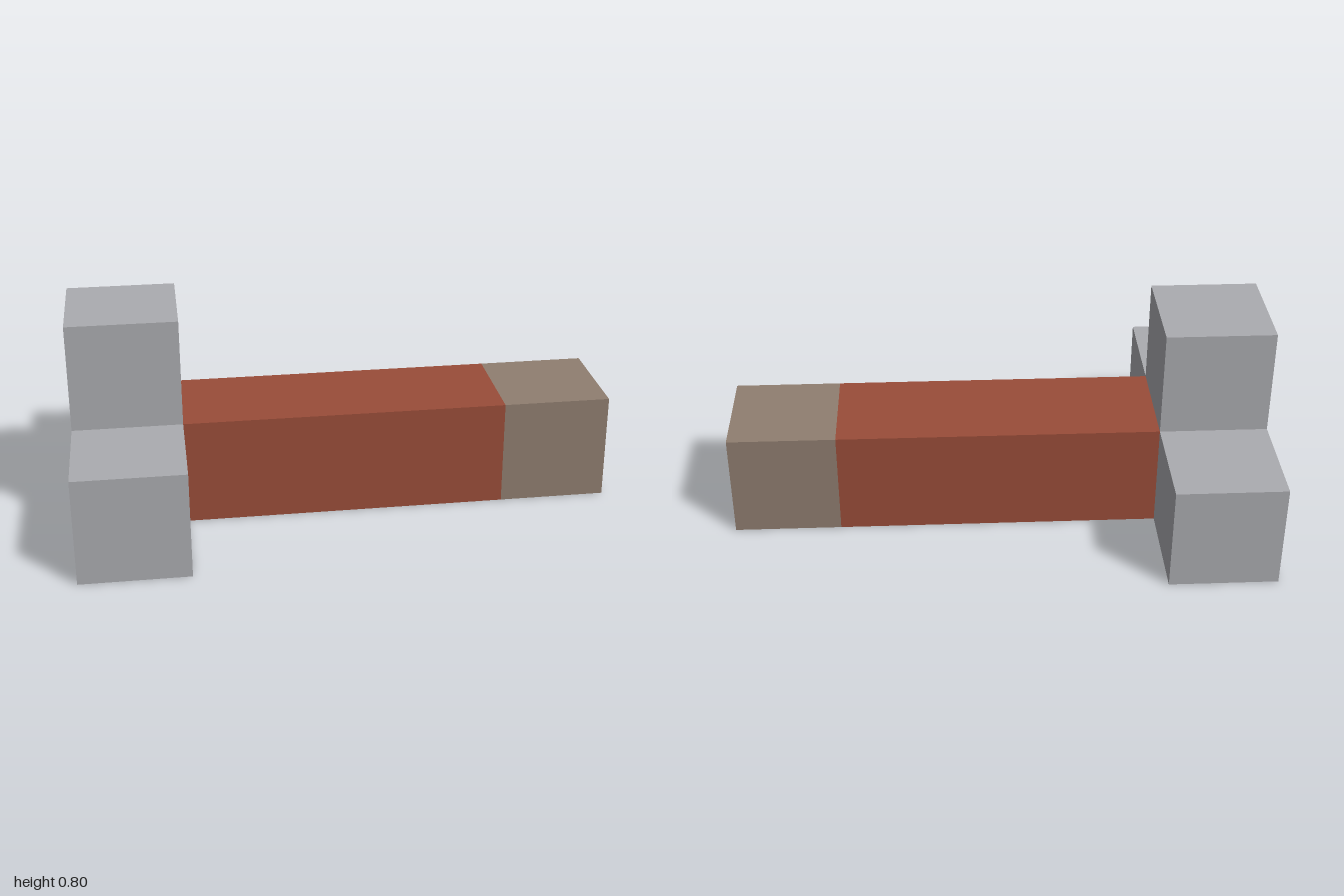
import * as THREE from 'three';

export function createModel() {
  const model = new THREE.Group();
  const material = (name, color) => {
    const m = new THREE.MeshStandardMaterial({ color });
    m.name = name;
    return m;
  };
  const grey = material('stone grey', 0xabacb0);
  const red = material('brick red', 0x9a4d39);
  const tan = material('dull tan', 0x907e70);

  // Every part is a block of square 0.4 section
  const S = 0.4;
  const block = (name, length, x, y, z, mat) => {
    const mesh = new THREE.Mesh(new THREE.BoxGeometry(length, S, S), mat);
    mesh.name = name;
    mesh.position.set(x, y, z);
    model.add(mesh);
  };

  // Long shaft running through to the finned end, with its tip
  block('shaft', 1.6, -0.2, 0.2, 0, red);
  block('tip', S, 0.8, 0.2, 0, tan);

  // Cubes around the tail: one on top, one on each side
  block('topFin', S, -0.8, 0.6, 0, grey);
  for (const side of [1, -1]) {
    block(side > 0 ? 'frontFin' : 'backFin', S, -0.8, 0.2, side * S, grey);
  }
  return model;
}
